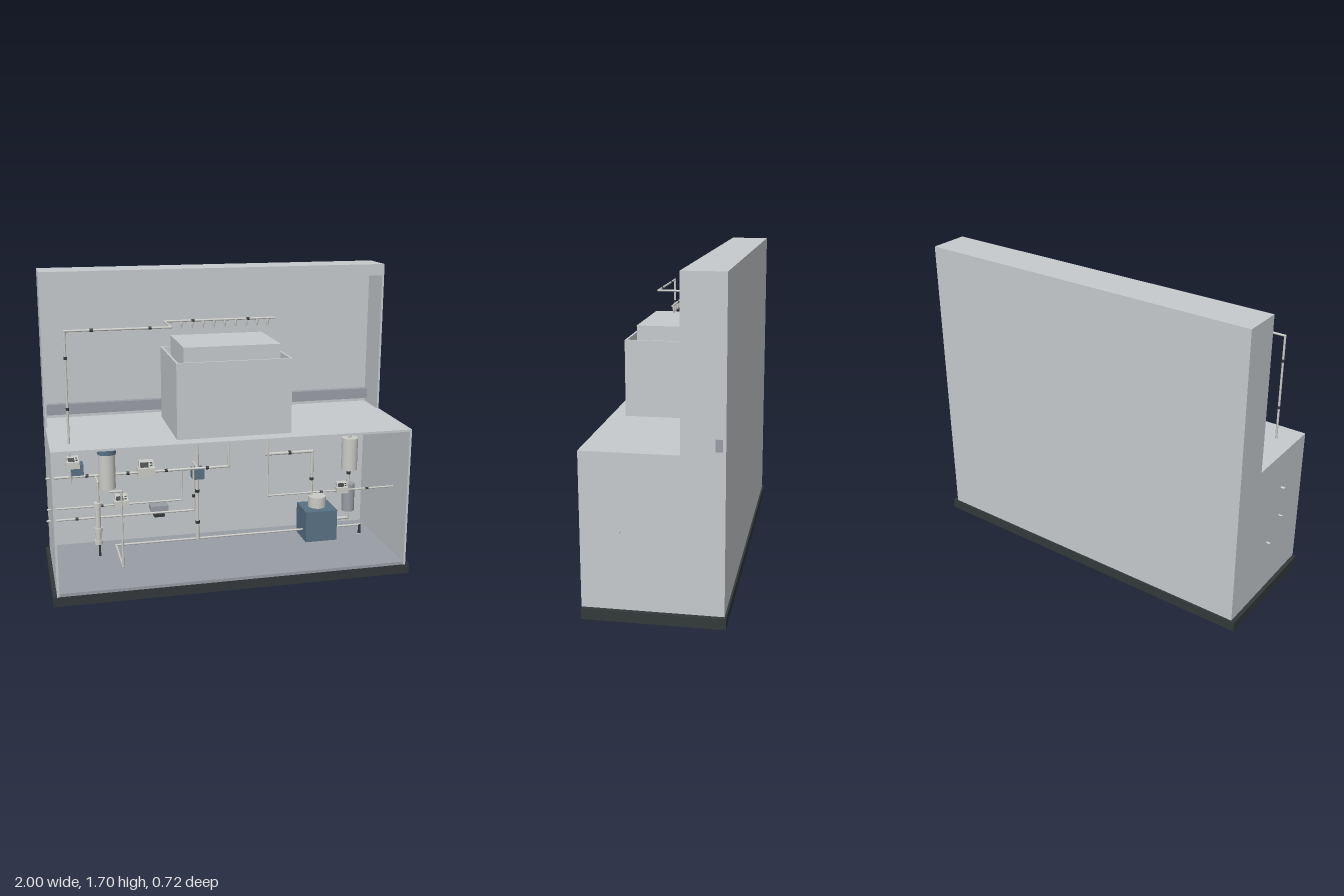
import * as THREE from 'three';

const mat = (name, color, side = THREE.FrontSide) => {
  const m = new THREE.MeshStandardMaterial({ color, side });
  m.name = name;
  return m;
};

export function createModel() {
  const root = new THREE.Group();
  root.name = 'washStation';
  const cabinet = mat('cabinetGrey', 0xc6cacd);
  const panel = mat('floorGrey', 0x999da5);
  const dark = mat('baseCharcoal', 0x32383a);
  const blue = mat('steelBlue', 0x587184);
  const steel = mat('pipeSteel', 0xcacac6);

  const add = (name, geo, material, parent = root) => {
    const m = new THREE.Mesh(geo, material);
    m.name = name;
    parent.add(m);
    return m;
  };
  // Box from its minimum and maximum on each axis
  const box = (name, x0, x1, y0, y1, z0, z1, material, parent) => {
    const m = add(name, new THREE.BoxGeometry(x1 - x0, y1 - y0, z1 - z0), material, parent);
    m.position.set((x0 + x1) / 2, (y0 + y1) / 2, (z0 + z1) / 2);
    return m;
  };
  const cyl = (name, x, y0, y1, z, r, material, parent) => {
    const m = add(name, new THREE.CylinderGeometry(r, r, y1 - y0, 24), material, parent);
    m.position.set(x, (y0 + y1) / 2, z);
    return m;
  };
  const UP = new THREE.Vector3(0, 1, 0);
  const rod = (name, a, b, r, material, parent) => {
    const d = b.clone().sub(a);
    const m = add(name, new THREE.CylinderGeometry(r, r, d.length(), 12), material, parent);
    m.position.copy(a).addScaledVector(d, 0.5);
    m.quaternion.setFromUnitVectors(UP, d.normalize());
    return m;
  };
  // Straight pipe runs with round elbows; fits lists [segment, fraction] for dark couplings
  const pipe = (name, r, points, fits = []) => {
    const g = new THREE.Group();
    g.name = name;
    root.add(g);
    const p = points.map((q) => new THREE.Vector3(...q));
    for (let i = 1; i < p.length; i++) {
      rod('pipeRun', p[i - 1], p[i], r, steel, g);
      if (i < p.length - 1) add('elbow', new THREE.SphereGeometry(r * 1.15, 12, 8), steel, g).position.copy(p[i]);
    }
    for (const [s, t] of fits) {
      const c = p[s].clone().lerp(p[s + 1], t);
      const d = p[s + 1].clone().sub(p[s]).normalize().multiplyScalar(0.008);
      rod('coupling', c.clone().sub(d), c.clone().add(d), r * 1.35, dark, g);
    }
  };

  // Plinth and cabinet shell
  box('base', -1, 1, 0, 0.055, -0.355, 0.357, dark);
  const side = new THREE.Shape([
    [0.345, 0.055], [-0.36, 0.055], [-0.36, 0.85], [0.13, 0.85], [0.13, 1.7], [0.345, 1.7],
  ].map(([x, y]) => new THREE.Vector2(x, y)));
  for (const x of [-0.978, 0.963]) {
    const geo = new THREE.ExtrudeGeometry(side, { depth: 0.012, bevelEnabled: false });
    const m = add('sideWall', geo, cabinet);
    m.rotation.y = Math.PI / 2;
    m.position.x = x;
  }
  box('backWall', -0.966, 0.963, 0.055, 1.7, -0.345, -0.333, cabinet);
  box('roof', -0.966, 0.963, 1.635, 1.7, -0.333, -0.13, cabinet);
  box('worktop', -0.966, 0.963, 0.838, 0.85, -0.333, 0.36, cabinet);
  box('cabinetFloor', -0.966, 0.963, 0.055, 0.072, -0.333, 0.357, panel);
  box('backRail', -0.97, 0.977, 0.875, 0.935, -0.33, -0.295, panel);

  // Open tank with water and an inner block
  const hole = new THREE.Path([[-0.303, -0.268], [0.298, -0.268], [0.298, 0.208], [-0.303, 0.208]].map((p) => new THREE.Vector2(...p)));
  const rim = new THREE.Shape([[-0.315, -0.28], [0.31, -0.28], [0.31, 0.22], [-0.315, 0.22]].map((p) => new THREE.Vector2(...p)));
  rim.holes.push(hole);
  const tank = add('tank', new THREE.ExtrudeGeometry(rim, { depth: 0.41, bevelEnabled: false }), cabinet);
  tank.rotation.x = -Math.PI / 2;
  tank.position.y = 0.85;
  box('tankWater', -0.303, 0.298, 1.13, 1.138, -0.208, 0.268, blue);
  box('innerBlock', -0.265, 0.26, 0.85, 1.33, -0.168, 0.225, cabinet);

  // Overhead spray line with nozzles
  pipe('sprayPipe', 0.006, [
    [-0.875, 0.63, 0.225], [-0.875, 1.44, 0.225], [-0.33, 1.44, 0.225], [-0.33, 1.44, 0.03], [0.28, 1.44, 0.03],
  ], [[0, 0.5], [0, 0.83], [1, 0.25], [1, 0.8], [3, 0.25], [3, 0.75]]);
  for (let i = 0; i < 9; i++) {
    const x = -0.24 + i * 0.06;
    cyl('nozzleNeck', x, 1.42, 1.44, 0.03, 0.007, steel);
    const tip = add('nozzleTip', new THREE.CylinderGeometry(0.007, 0.003, 0.022, 12), steel);
    tip.position.set(x, 1.409, 0.03);
  }

  // Pipework on the left half
  pipe('upperFeed', 0.007, [[-1, 0.635, 0.12], [0, 0.635, 0.12], [0, 0.84, 0.12]], [[0, 0.22], [0, 0.44], [0, 0.65], [0, 0.88]]);
  pipe('middleFeed', 0.005, [[-1, 0.46, 0.12], [-0.265, 0.46, 0.12], [-0.265, 0.635, 0.12]], [[0, 0.4]]);
  pipe('lowerFeed', 0.006, [[-1, 0.35, 0], [-0.175, 0.35, 0], [-0.175, 0.635, 0], [-0.175, 0.635, 0.12]], [[0, 0.2], [1, 0.3]]);
  pipe('mainRiser', 0.01, [[-0.135, 0.84, -0.09], [-0.135, 0.135, -0.09]], [[0, 0.16], [0, 0.58], [0, 0.85]]);
  pipe('drainLine', 0.006, [
    [-0.675, 0.57, 0.22], [-0.61, 0.57, 0.22], [-0.61, 0.135, 0.22], [-0.61, 0.135, -0.1], [0.87, 0.135, -0.1], [0.87, 0.072, -0.1],
  ], [[4, 0.08], [4, 0.25], [4, 0.42], [4, 0.58], [4, 0.75]]);
  pipe('filterLink', 0.006, [[-0.735, 0.635, 0.12], [-0.735, 0.635, 0.24], [-0.735, 0.52, 0.24]]);

  // Pipework on the right half
  pipe('rightFeed', 0.005, [[1, 0.46, 0.163], [0.215, 0.46, 0.163], [0.215, 0.84, 0.163]], [[0, 0.25], [0, 0.6]]);
  pipe('columnFeed', 0.009, [
    [0.13, 0.84, -0.13], [0.13, 0.725, -0.13], [0.8, 0.725, -0.13], [0.8, 0.175, -0.13], [0.68, 0.175, -0.13],
  ], [[0, 0.9], [1, 0.25], [1, 0.6], [2, 0.48]]);
  pipe('pumpFeed', 0.009, [[0.295, 0.84, -0.15], [0.295, 0.605, -0.15], [0.575, 0.605, -0.15], [0.575, 0.32, -0.15]],
    [[0, 0.5], [1, 0.5], [2, 0.6]]);

  // Pump and filter columns
  box('pumpBody', 0.508, 0.7, 0.078, 0.265, -0.22, -0.03, blue);
  cyl('pumpHead', 0.605, 0.265, 0.33, -0.13, 0.053, steel);
  cyl('upperColumn', 0.802, 0.485, 0.68, -0.13, 0.048, steel);
  cyl('lowerColumn', 0.802, 0.225, 0.395, -0.13, 0.038, panel);
  cyl('filterCanister', -0.675, 0.57, 0.765, 0.15, 0.045, steel);
  cyl('filterCap', -0.675, 0.763, 0.79, 0.15, 0.051, blue);

  // Slim flow tube
  cyl('flowTube', -0.74, 0.3, 0.51, 0.24, 0.015, steel);
  for (const y of [0.29, 0.36, 0.5]) cyl('flowCollar', -0.74, y, y + 0.022, 0.24, 0.022, steel);
  cyl('flowTip', -0.735, 0.22, 0.29, 0.24, 0.006, dark);

  // Valves and inline sensor
  box('riserValve', -0.167, -0.1, 0.51, 0.57, -0.125, -0.055, blue);
  box('inletValve', -0.865, -0.8, 0.655, 0.715, 0.1, 0.17, blue);
  box('sensorBody', -0.425, -0.325, 0.37, 0.4, -0.035, 0.035, panel);
  box('sensorFoot', -0.405, -0.345, 0.332, 0.345, -0.025, 0.025, dark);

  // Meters: a base, a sloped head, a dark display and buttons
  const meter = (x, y, z, w) => {
    const g = new THREE.Group();
    g.name = 'flowMeter';
    g.position.set(x, y, z);
    g.scale.setScalar(w);
    root.add(g);
    box('meterBase', -0.5, 0.5, -0.25, 0.26, -0.3, 0.3, steel, g);
    const wedge = new THREE.Shape([[-0.28, 0.26], [0.28, 0.26], [0.1, 0.65], [-0.28, 0.65]].map((p) => new THREE.Vector2(...p)));
    const head = add('meterHead', new THREE.ExtrudeGeometry(wedge, { depth: 0.84, bevelEnabled: false }), steel, g);
    head.rotation.y = -Math.PI / 2;
    head.position.x = 0.42;
    const face = new THREE.Group();
    face.name = 'meterFace';
    face.position.set(0, 0.455, 0.195);
    face.rotation.x = -Math.atan2(0.18, 0.39);
    g.add(face);
    box('display', -0.36, 0.12, -0.15, 0.15, -0.02, 0.02, dark, face);
    for (const by of [-0.09, 0.07]) box('button', 0.2, 0.34, by, by + 0.08, -0.02, 0.02, dark, face);
  };
  meter(-0.46, 0.637, 0.12, 0.095);
  meter(-0.6, 0.463, 0.12, 0.08);
  meter(-0.86, 0.735, 0.225, 0.07);
  meter(0.455, 0.725, -0.13, 0.095);
  meter(0.65, 0.463, 0.163, 0.07);
  return root;
}
